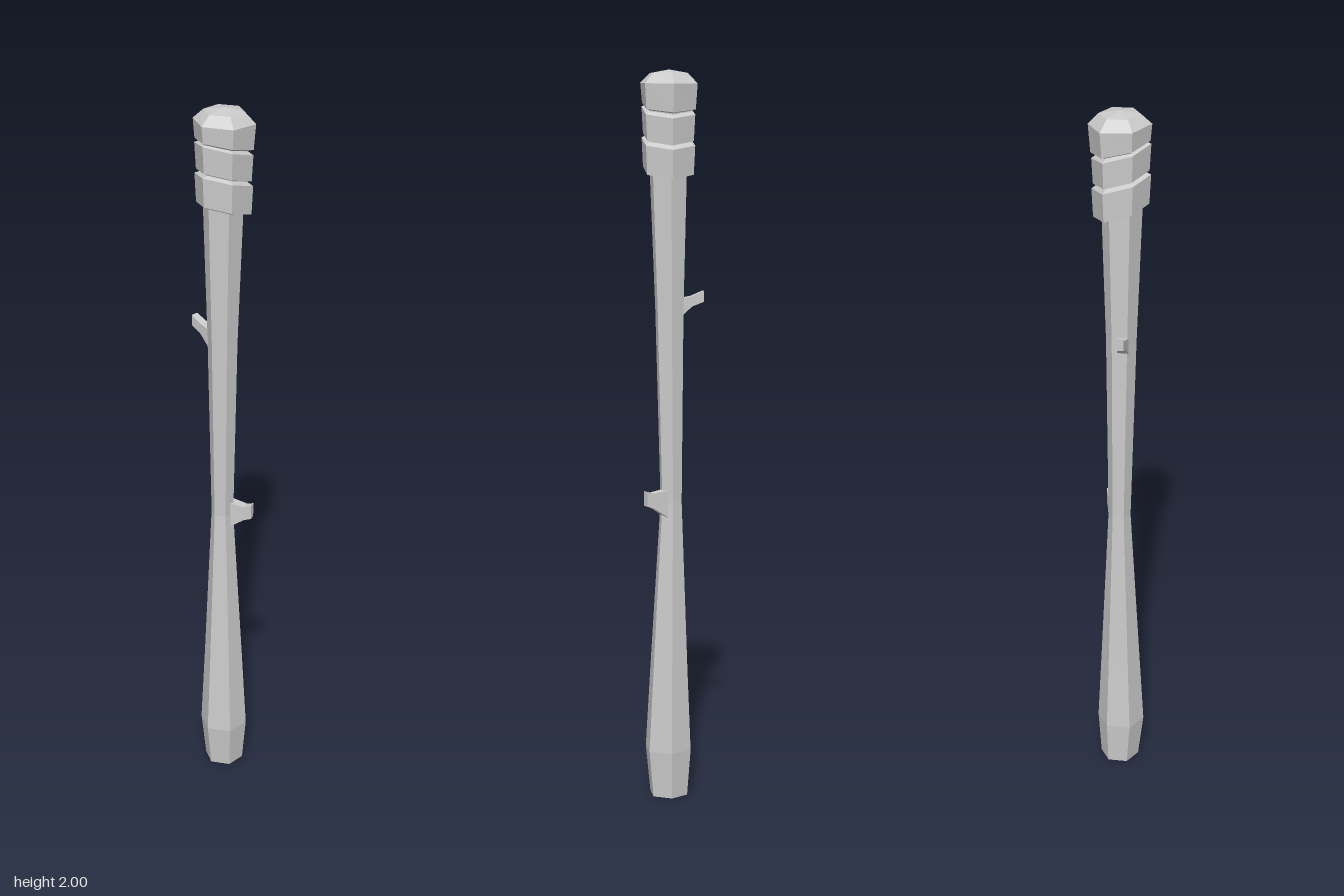
import * as THREE from 'three';

const material = new THREE.MeshStandardMaterial({ color: 0xcccccc, flatShading: true });

// Skin a list of equal-length point rings and close both ends with fans.
function loft(name, rings) {
  const pos = [];
  const tri = (...pts) => pts.forEach((p) => pos.push(p.x, p.y, p.z));
  const n = rings[0].length;
  const centre = (ring) => ring.reduce((s, p) => s.add(p), new THREE.Vector3()).divideScalar(n);
  const first = rings[0], last = rings[rings.length - 1];
  const bottom = centre(first), top = centre(last);
  for (let i = 0; i < n; i++) {
    const j = (i + 1) % n;
    for (let k = 0; k < rings.length - 1; k++) {
      const lo = rings[k], hi = rings[k + 1];
      tri(lo[i], hi[i], hi[j]);
      tri(lo[i], hi[j], lo[j]);
    }
    tri(bottom, first[i], first[j]);
    tri(top, last[j], last[i]);
  }
  const geo = new THREE.BufferGeometry();
  geo.setAttribute('position', new THREE.Float32BufferAttribute(pos, 3));
  geo.computeVertexNormals();
  const mesh = new THREE.Mesh(geo, material);
  mesh.name = name;
  return mesh;
}

// Hexagon with points on the x axis; slope tips it down towards +x.
function hexRing(y, r, cx = 0, cz = 0.009, slope = 0) {
  return Array.from({ length: 6 }, (_, i) => {
    const a = (i * Math.PI) / 3;
    const dx = r * Math.cos(a);
    return new THREE.Vector3(cx + dx, y - slope * dx, cz + r * Math.sin(a));
  });
}

// Tapered four-sided branch stub; each section is [out, halfWidth, low, high].
function stub(name, sections, x, y, z, turn) {
  const mesh = loft(name, sections.map(([out, w, lo, hi]) => [
    new THREE.Vector3(-w, hi, out), new THREE.Vector3(w, hi, out),
    new THREE.Vector3(w, lo, out), new THREE.Vector3(-w, lo, out),
  ]));
  mesh.position.set(x, y, z);
  mesh.rotation.y = turn;
  return mesh;
}

export function createModel() {
  const group = new THREE.Group();
  group.name = 'woodenStaff';

  // Shaft: swollen foot, narrow waist, flared top
  group.add(loft('shaft', [
    hexRing(0, 0.055, 0, 0.01),
    hexRing(0.13, 0.067, -0.003, 0.011),
    hexRing(0.36, 0.055, -0.002, 0.009),
    hexRing(0.83, 0.031, 0, 0.003),
    hexRing(1.36, 0.041, -0.004, 0.007),
    hexRing(1.75, 0.054, -0.005, 0.01),
  ]));

  // Slanted wrapped bands below the cap
  [['lowerBand', 1.732, 1.81], ['middleBand', 1.822, 1.892]].forEach(([name, low, high]) => {
    group.add(loft(name, [
      hexRing(low - 0.004, 0.055, -0.004, 0.01, 0.3),
      hexRing(low, 0.073, -0.003, 0.01, 0.3),
      hexRing(high, 0.077, -0.003, 0.01, 0.3),
      hexRing(high + 0.008, 0.062, -0.003, 0.01, 0.3),
    ]));
  });

  // Core seen in the grooves between the bands
  group.add(loft('headCore', [
    hexRing(1.76, 0.062, -0.003, 0.01, 0.3),
    hexRing(1.94, 0.064, -0.002, 0.01, 0.3),
  ]));

  // Faceted cap with a shallow point on top
  group.add(loft('cap', [
    hexRing(1.899, 0.064, -0.002, 0.009, 0.25),
    hexRing(1.904, 0.077, -0.001, 0.009, 0.25),
    hexRing(1.964, 0.082, 0, 0.009, 0.05),
    hexRing(1.991, 0.054, 0, 0.009, 0.02),
    hexRing(2.0, 0.001),
  ]));

  // Broken branch stubs, one in front and one behind
  group.add(stub('frontStub',
    [[0, 0.016, -0.045, 0.03], [0.042, 0.011, -0.017, 0.025], [0.062, 0.009, -0.01, 0.031]],
    0.016, 0.835, 0.022, 0.37));
  group.add(stub('backStub',
    [[0, 0.015, -0.038, 0.01], [0.03, 0.012, -0.012, 0.016], [0.062, 0.01, 0.0, 0.03]],
    -0.013, 1.378, -0.026, Math.PI));

  return group;
}
